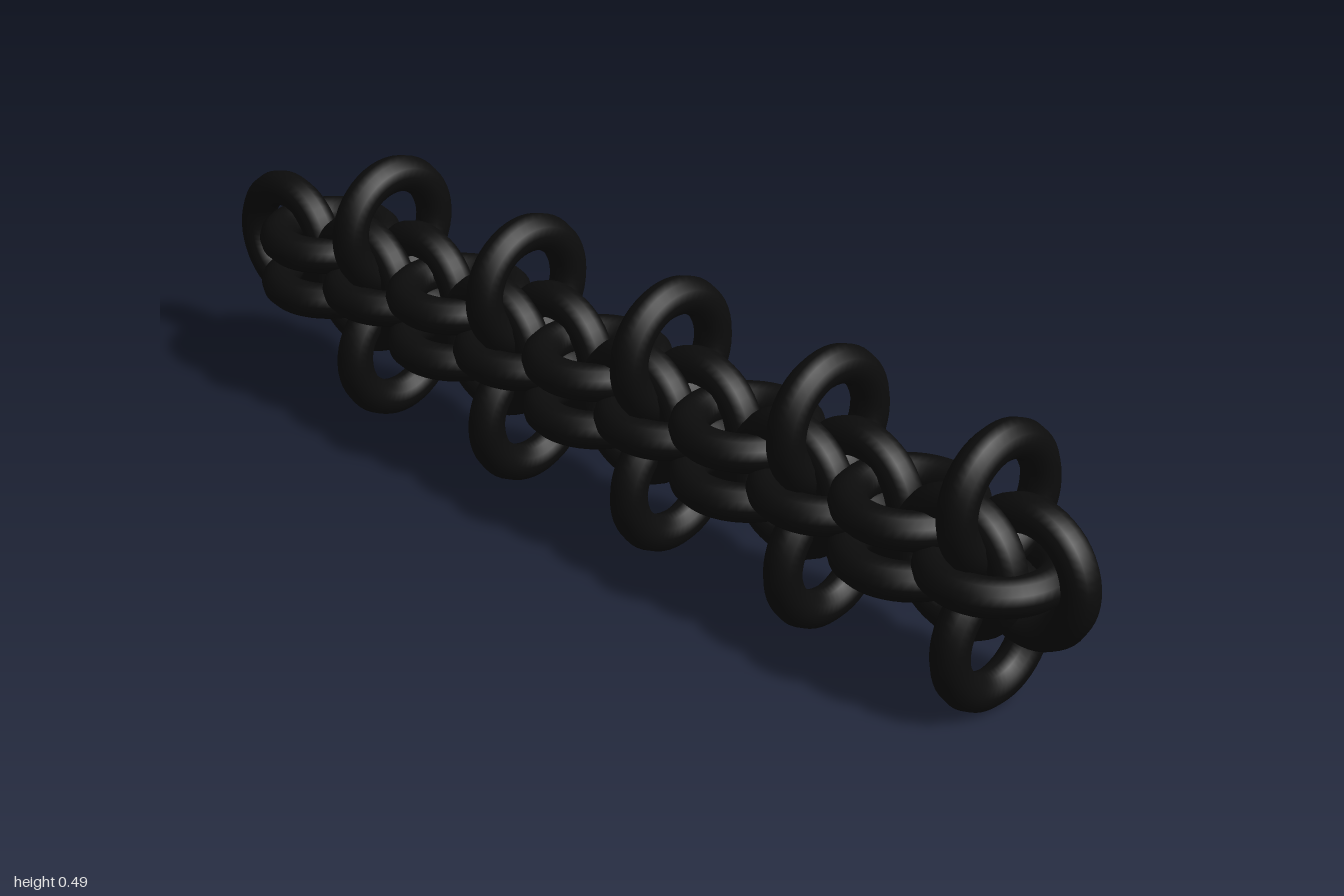
import * as THREE from 'three';

// A chain woven from identical rings lying in three perpendicular planes.
export function createModel() {
  const group = new THREE.Group();
  group.name = 'wovenChain';
  const material = new THREE.MeshStandardMaterial({ color: 0x0c0c0c });
  const ringGeometry = new THREE.TorusGeometry(0.096, 0.032, 12, 48);

  const units = 5;
  const pitch = 0.351;
  const firstX = -0.581;
  const midY = 0.247;

  function addRing(name, x, y, z, rx = 0, ry = 0) {
    const ring = new THREE.Mesh(ringGeometry, material);
    ring.name = name;
    ring.position.set(x, y, z);
    ring.rotation.set(rx, ry, 0);
    group.add(ring);
  }

  // single upright ring at the left end
  addRing('endRing', -0.872, midY, 0);

  for (let i = 0; i < units; i++) {
    const x = firstX + i * pitch;

    for (const s of [-1, 1]) {
      // stacked pair of flat rings leading into each knot
      addRing('flatPairRing', x - pitch / 2, midY + s * 0.044, 0, Math.PI / 2);
      // side-by-side upright rings of the knot, staggered along the chain
      addRing('uprightRing', x - s * 0.048, midY, s * 0.027);
      // crosswise rings standing out above and below
      addRing('crossRing', x, midY + s * 0.118, 0, 0, Math.PI / 2);
    }

    // flat ring through the middle of the knot
    addRing('flatCoreRing', x, midY, 0, Math.PI / 2);
  }

  return group;
}
